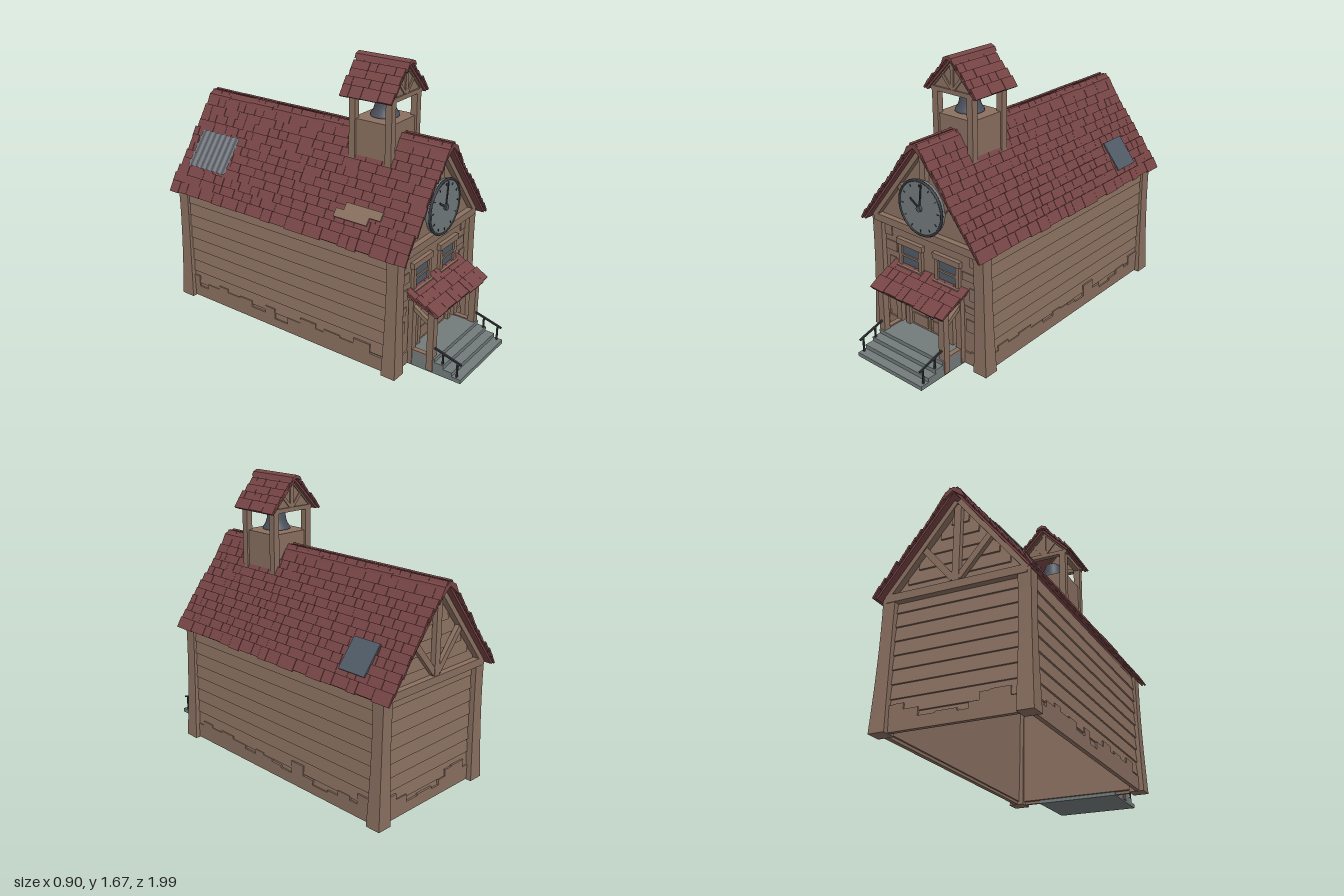
import * as THREE from 'three';
import { mergeGeometries } from 'three/addons/utils/BufferGeometryUtils.js';

const material = (name, color, double) => {
  const m = new THREE.MeshStandardMaterial({ color });
  m.name = name;
  if (double) m.side = THREE.DoubleSide;
  return m;
};

export function createModel() {
  const wood = material('wood', 0x8a7060);
  const tile = material('roof tile', 0x784546);
  const stone = material('step stone', 0x737b7b);
  const metal = material('bell metal', 0x4c525d, true);
  const iron = material('dark iron', 0x33363b);
  const glass = material('window glass', 0x505b67);
  const dial = material('clock dial', 0x727b7d);
  const sheet = material('corrugated sheet', 0x5a6068, true);

  const root = new THREE.Group();
  root.name = 'bellHouse';
  let seed = 7;
  const rand = (a, b) => {
    seed = (seed * 16807) % 2147483647;
    return a + (b - a) * (seed / 2147483647);
  };
  const add = (name, geo, mat, parent = root) => {
    const m = new THREE.Mesh(geo, mat);
    m.name = name;
    parent.add(m);
    return m;
  };
  // Box geometry given its centre and size
  const block = (x, y, z, w, h, d) => new THREE.BoxGeometry(w, h, d).translate(x, y, z);
  // Square bar between two points
  const bar = (a, b, w, d = w) => {
    const p = new THREE.Vector3(...a), q = new THREE.Vector3(...b);
    const dir = q.clone().sub(p);
    const g = new THREE.BoxGeometry(w, dir.length(), d);
    g.applyQuaternion(new THREE.Quaternion().setFromUnitVectors(new THREE.Vector3(0, 1, 0), dir.normalize()));
    return g.translate(...p.add(q).multiplyScalar(0.5).toArray());
  };
  // Extruded polygon from z0 to z1
  const prism = (pts, z0, z1) => new THREE.ExtrudeGeometry(
    new THREE.Shape(pts.map(p => new THREE.Vector2(...p))), { depth: z1 - z0, bevelEnabled: false }).translate(0, 0, z0);

  // One roof slope: a slab with overlapping rows of uneven shingles
  const slope = (name, s, eave, ridge, z0, z1, rows, parent = root, ragged = 0.008) => {
    const dx = eave[0] - ridge[0], dy = ridge[1] - eave[1];
    const len = Math.hypot(dx, dy), a = Math.atan2(dy, dx), step = len / rows;
    const parts = [new THREE.BoxGeometry(len, 0.012, z1 - z0 - 0.02).translate(-len / 2, -0.012, (z0 + z1) / 2)];
    for (let r = 0; r < rows; r++) {
      let z = z0 + rand(-ragged, ragged);
      const end = z1 + rand(-ragged, ragged);
      while (z < end - 0.005) {
        let w = rand(0.05, 0.13);
        if (z + w > end - 0.03) w = end - z;
        const l = step * 1.2 + rand(0, 0.012);
        parts.push(new THREE.BoxGeometry(l, 0.011, w - 0.002).translate(-l / 2, 0, 0)
          .rotateZ(-0.14).translate(-r * step + (l - step * 1.2), 0, z + w / 2));
        z += w;
      }
    }
    const g = mergeGeometries(parts).rotateZ(-a).translate(eave[0], eave[1], 0);
    if (s < 0) g.rotateY(Math.PI).translate(0, 0, z0 + z1);
    return add(name, g, tile, parent);
  };
  const EAVE = [0.44, 0.718], RIDGE = [0.015, 1.25];
  const roofAngle = Math.atan2(RIDGE[1] - EAVE[1], EAVE[0] - RIDGE[0]);
  const roofY = x => EAVE[1] + (EAVE[0] - Math.abs(x)) * Math.tan(roofAngle);

  // Wall cores, open underneath
  add('frontWall', block(0, 0.37, 0.64, 0.8, 0.7, 0.03), wood);
  add('backWall', block(0, 0.37, -0.88, 0.8, 0.7, 0.02), wood);
  for (const s of [-1, 1]) add('sideWall', block(s * 0.385, 0.37, -0.12, 0.02, 0.7, 1.5), wood);
  const gable = [[-0.41, 0.72], [0.41, 0.72], [0, 1.225]];
  add('frontGable', prism(gable, 0.63, 0.66), wood);
  add('backGable', prism(gable, -0.89, -0.87), wood);

  // Lapped boards on sides, back and back gable
  const boards = [];
  for (let i = 0; i < 9; i++) {
    const y = 0.06 + i * 0.078;
    for (const s of [-1, 1]) boards.push(new THREE.BoxGeometry(0.012, 0.084, 1.5).rotateZ(s * 0.12).translate(s * 0.396, y, -0.12));
    boards.push(new THREE.BoxGeometry(0.78, 0.084, 0.012).rotateX(0.12).translate(0, y, -0.892));
  }
  for (let i = 0; i < 6; i++) {
    const y = 0.76 + i * 0.075, w = 2 * (0.41 - (y + 0.03 - 0.72) * 0.81);
    boards.push(new THREE.BoxGeometry(w, 0.08, 0.012).rotateX(0.12).translate(0, y, -0.892));
  }
  add('lappedBoards', mergeGeometries(boards), wood);

  // Uneven blocks along the foot of the walls
  const foot = [];
  const footRow = (a, b, place) => {
    for (let t = a; t < b;) {
      const w = Math.min(rand(0.05, 0.12), b - t), h = rand(0.05, 0.15);
      foot.push(place(t + w / 2, w, h));
      t += w;
    }
  };
  for (const s of [-1, 1]) {
    footRow(-0.86, 0.62, (t, w, h) => block(s * 0.398, h / 2 + 0.004, t, 0.025, h, w));
    footRow(0.2, 0.38, (t, w, h) => block(s * t, h / 2 + 0.004, 0.656, w, h, 0.016));
  }
  footRow(-0.38, 0.38, (t, w, h) => block(t, h / 2 + 0.004, -0.896, w, h, 0.024));
  add('footBlocks', mergeGeometries(foot), wood);

  // Scattered facing boards on the front
  const plates = [];
  for (const s of [-1, 1]) for (let i = 0; i < 5; i++)
    plates.push(block(s * rand(0.29, 0.34), 0.25 + i * 0.1, 0.657, rand(0.05, 0.1), rand(0.04, 0.08), 0.008));
  add('facingBoards', mergeGeometries(plates), wood);

  // Corner posts, flared at foot and head
  for (const s of [-1, 1]) for (const z of [0.652, -0.895]) {
    const g = new THREE.BoxGeometry(0.065, 0.73, 0.065, 1, 8, 1).translate(0, 0.365, 0);
    const p = g.attributes.position;
    for (let i = 0; i < p.count; i++) {
      const t = p.getY(i) / 0.73, k = 1 + 0.4 * (1 - t) ** 2 + 0.12 * t ** 4;
      p.setXYZ(i, p.getX(i) * k + s * (0.382 + 0.012 * (1 - t)), p.getY(i), p.getZ(i) * k + z);
    }
    g.computeVertexNormals();
    add('cornerPost', g, wood);
  }

  // Gable timbers, front and back
  for (const z of [0.675, -0.915]) {
    const parts = [block(0, 0.72, z, 0.8, 0.045, 0.04), block(0, 0.96, z, 0.04, 0.46, 0.03)];
    for (const s of [-1, 1]) {
      parts.push(bar([s * 0.4, 0.725, z], [s * 0.01, 1.212, z], 0.035, 0.04));
      parts.push(bar([s * 0.015, 0.76, z], [s * 0.2, 0.98, z], 0.035, 0.026));
    }
    add('gableTimbers', mergeGeometries(parts), wood);
  }

  // Main roof with ridge cap
  for (const s of [-1, 1]) slope('mainRoof', s, EAVE, RIDGE, -0.985, 0.745, 13);
  const cap = [[-0.075, 1.175], [-0.045, 1.236], [0, 1.258], [0.045, 1.236], [0.075, 1.175], [0, 1.235]].reverse();
  const caps = [];
  for (let i = 0; i < 10; i++)
    caps.push(prism(cap, -0.99 + i * 0.174, -0.99 + (i + 1) * 0.174).translate(0, rand(0, 0.006), 0));
  add('ridgeCap', mergeGeometries(caps), tile);

  // Roof patches: skylight, corrugated sheet and old boards
  const onRoof = (mesh, x, z, lift) => {
    const s = Math.sign(x);
    mesh.position.set(x + s * lift * Math.sin(roofAngle), roofY(x) + lift * Math.cos(roofAngle), z);
    mesh.rotation.z = -s * roofAngle;
  };
  onRoof(add('skylight', new THREE.BoxGeometry(0.19, 0.012, 0.18), glass), 0.325, -0.69, 0.014);
  const wavy = new THREE.PlaneGeometry(0.24, 0.3, 1, 56).rotateX(-Math.PI / 2);
  for (let i = 0, p = wavy.attributes.position; i < p.count; i++) p.setY(i, 0.005 * Math.sin(p.getZ(i) * 2 * Math.PI / 0.043));
  wavy.computeVertexNormals();
  onRoof(add('corrugatedPatch', wavy, sheet), -0.255, -0.76, 0.019);
  for (const [x, z, l] of [[-0.338, 0.34, 0.22], [-0.31, 0.4, 0.24]])
    onRoof(add('boardPatch', new THREE.BoxGeometry(0.05, 0.012, l), wood), x, z, 0.017);

  // Bell tower
  const tower = new THREE.Group();
  tower.name = 'bellTower';
  root.add(tower);
  add('towerBase', block(0, 1.18, 0.31, 0.265, 0.3, 0.255), wood, tower);
  const frame = [];
  for (const s of [-1, 1]) {
    for (const z of [0.43, 0.19]) frame.push(block(s * 0.125, 1.275, z, 0.04, 0.39, 0.04));
    frame.push(block(s * 0.125, 1.465, 0.31, 0.035, 0.025, 0.28));
  }
  for (const z of [0.435, 0.185]) {
    frame.push(block(0, 1.468, z, 0.3, 0.025, 0.03), block(0, 1.55, z, 0.022, 0.16, 0.026));
    frame.push(prism([[-0.15, 1.47], [0.15, 1.47], [0, 1.635]], z - 0.005, z + 0.005));
    for (const s of [-1, 1]) {
      frame.push(bar([s * 0.16, 1.47, z], [s * 0.005, 1.635, z], 0.022, 0.03));
      frame.push(bar([s * 0.01, 1.485, z], [s * 0.07, 1.555, z], 0.018, 0.024));
    }
  }
  add('towerFrame', mergeGeometries(frame.map(g => g.index ? g.toNonIndexed() : g)), wood, tower);
  for (const s of [-1, 1]) slope('towerRoof', s, [0.182, 1.468], [0.01, 1.65], 0.135, 0.472, 5, tower, 0.006);
  add('towerRidge', prism([[-0.04, 1.635], [0, 1.652], [0.04, 1.635], [0.028, 1.66], [0, 1.672], [-0.028, 1.66]], 0.13, 0.48), tile, tower);
  const bellProfile = [[0.083, 1.338], [0.08, 1.35], [0.066, 1.37], [0.057, 1.4], [0.053, 1.44], [0.045, 1.46], [0, 1.468]];
  add('bell', new THREE.LatheGeometry(bellProfile.map(p => new THREE.Vector2(...p)), 24).translate(0, 0, 0.31), metal, tower);
  add('clapper', new THREE.SphereGeometry(0.016, 12, 8).translate(0, 1.352, 0.31), iron, tower);

  // Clock
  const clock = new THREE.Group();
  clock.name = 'clock';
  clock.position.set(0, 0.89, 0.7);
  root.add(clock);
  add('clockFace', new THREE.CylinderGeometry(0.157, 0.157, 0.03, 40).rotateX(Math.PI / 2), dial, clock);
  add('clockRim', new THREE.TorusGeometry(0.157, 0.008, 8, 40).translate(0, 0, 0.012), iron, clock);
  const marks = [];
  for (let i = 0; i < 12; i++) marks.push(block(0, 0.132, 0.017, 0.004, 0.014, 0.004).rotateZ(i * Math.PI / 6));
  marks.push(bar([0, 0, 0.02], [0.017, 0.143, 0.02], 0.009, 0.005), bar([0, 0, 0.02], [-0.068, 0.044, 0.02], 0.011, 0.005));
  add('clockHands', mergeGeometries(marks), iron, clock);
  add('clockHub', new THREE.CylinderGeometry(0.017, 0.017, 0.02, 16).rotateX(Math.PI / 2).translate(0, 0, 0.02), metal, clock);

  // Front windows
  for (const s of [-1, 1]) {
    const x = s * 0.14;
    add('windowPane', block(x, 0.527, 0.659, 0.14, 0.13, 0.008), glass);
    const parts = [block(x, 0.61, 0.665, 0.2, 0.035, 0.03), block(x, 0.452, 0.668, 0.19, 0.025, 0.04), block(x, 0.527, 0.662, 0.14, 0.012, 0.02)];
    for (const t of [-1, 1]) parts.push(block(x + t * 0.078, 0.527, 0.662, 0.025, 0.14, 0.025));
    add('windowFrame', mergeGeometries(parts), wood);
  }

  // Double door
  const door = [block(0, 0.35, 0.668, 0.37, 0.03, 0.03)];
  for (const s of [-1, 1]) {
    door.push(block(s * 0.17, 0.215, 0.668, 0.03, 0.25, 0.03), block(s * 0.0775, 0.215, 0.659, 0.15, 0.24, 0.012));
    door.push(block(s * 0.077, 0.272, 0.667, 0.115, 0.09, 0.008), block(s * 0.077, 0.145, 0.667, 0.115, 0.07, 0.008));
    add('doorKnob', new THREE.SphereGeometry(0.01, 10, 8).translate(s * 0.016, 0.2, 0.675), metal);
  }
  add('door', mergeGeometries(door), wood);

  // Porch with posts, braces and shingled canopy
  const porch = [block(0, 0.37, 0.81, 0.5, 0.025, 0.035)];
  for (const s of [-1, 1]) {
    porch.push(block(s * 0.235, 0.19, 0.805, 0.042, 0.36, 0.04), block(s * 0.235, 0.21, 0.675, 0.04, 0.4, 0.03));
    porch.push(bar([s * 0.235, 0.37, 0.68], [s * 0.235, 0.29, 0.8], 0.025), bar([s * 0.235, 0.43, 0.67], [s * 0.235, 0.365, 0.84], 0.025));
    porch.push(block(s * 0.235, 0.095, 0.74, 0.03, 0.014, 0.1));
  }
  add('porchFrame', mergeGeometries(porch), wood);
  const canopy = new THREE.Group();
  canopy.name = 'porchCanopy';
  canopy.rotation.y = -Math.PI / 2;
  root.add(canopy);
  slope('canopyShingles', 1, [0.855, 0.378], [0.66, 0.455], -0.28, 0.28, 3, canopy);

  // Steps and handrails
  [[1.0, 0.024], [0.945, 0.048], [0.89, 0.072], [0.835, 0.095]].forEach(([z, h], i) =>
    add('step', block(0, h - 0.012, (z + 0.64) / 2, 0.5, 0.024, z - 0.64), stone));
  for (const s of [-1, 1]) {
    const x = s * 0.235;
    add('handrail', mergeGeometries([
      bar([x, 0.108, 0.995], [x, 0.155, 0.825], 0.01),
      bar([x, 0.02, 0.97], [x, 0.118, 0.97], 0.009),
      bar([x, 0.06, 0.88], [x, 0.142, 0.88], 0.009),
    ]), iron);
  }
  return root;
}
